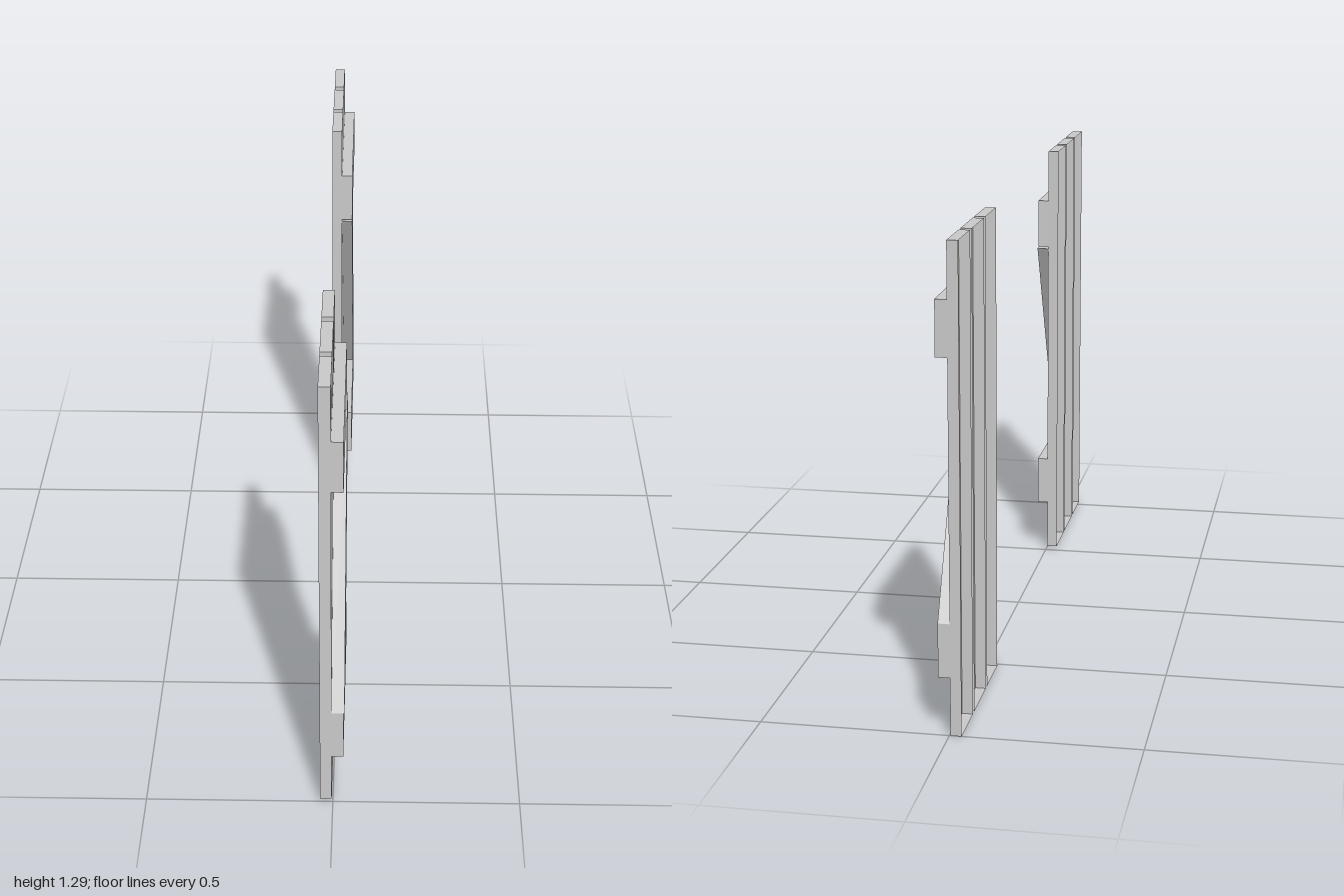
import * as THREE from 'three';

const material = new THREE.MeshStandardMaterial({ color: 0xcccccc, flatShading: true, side: THREE.DoubleSide });
const BACK = -0.034, MID = -0.003, FRONT = 0.028;

// Box between two x planes, left open on its -x side
function openBox(name, x0, x1, y0, y1, z0, z1) {
  const geometry = new THREE.BoxGeometry(x1 - x0, y1 - y0, z1 - z0);
  const index = Array.from(geometry.index.array);
  index.splice(6, 6); // second face pair is the -x side
  geometry.setIndex(index);
  geometry.clearGroups();
  geometry.translate((x0 + x1) / 2, (y0 + y1) / 2, (z0 + z1) / 2);
  const mesh = new THREE.Mesh(geometry, material);
  mesh.name = name;
  return mesh;
}

// Slanted board: a thin box sheared along z between the two battens
function brace(side, y0, y1, outer, inner, width, front) {
  const mesh = openBox('diagonalBrace', MID, front, y0, y1, -width / 2, width / 2);
  const p = mesh.geometry.attributes.position;
  for (let i = 0; i < p.count; i++) {
    const t = (p.getY(i) - y0) / (y1 - y0);
    const centre = THREE.MathUtils.lerp(outer - width / 2, inner + width / 2, t);
    p.setZ(i, p.getZ(i) + side * centre);
  }
  mesh.geometry.computeVertexNormals();
  return mesh;
}

// One shutter: three planks, two battens and a diagonal brace
function shutter(name, side, bottom, top, back) {
  const group = new THREE.Group();
  group.name = name;
  const planks = [[0.512, 0.657], [0.677, 0.833], [0.854, 1]];
  for (const [a, b] of planks) {
    const [z0, z1] = side > 0 ? [a, b] : [-b, -a];
    group.add(openBox('plank', back, MID, bottom, top, z0, z1));
  }
  const [z0, z1] = side > 0 ? [0.512, 1] : [-1, -0.512];
  group.add(openBox('lowerBatten', MID, FRONT, 0.157, 0.302, z0, z1));
  group.add(openBox('upperBatten', MID, FRONT, 0.991, 1.136, z0, z1));
  group.add(brace(side, 0.302, 0.985, 1, 0.512, 0.147, side > 0 ? 0.031 : FRONT));
  return group;
}

export function createModel() {
  const model = new THREE.Group();
  model.name = 'windowShutters';
  model.add(shutter('frontShutter', 1, 0.01, 1.29, BACK));
  model.add(shutter('backShutter', -1, 0, 1.282, -0.032));
  return model;
}
